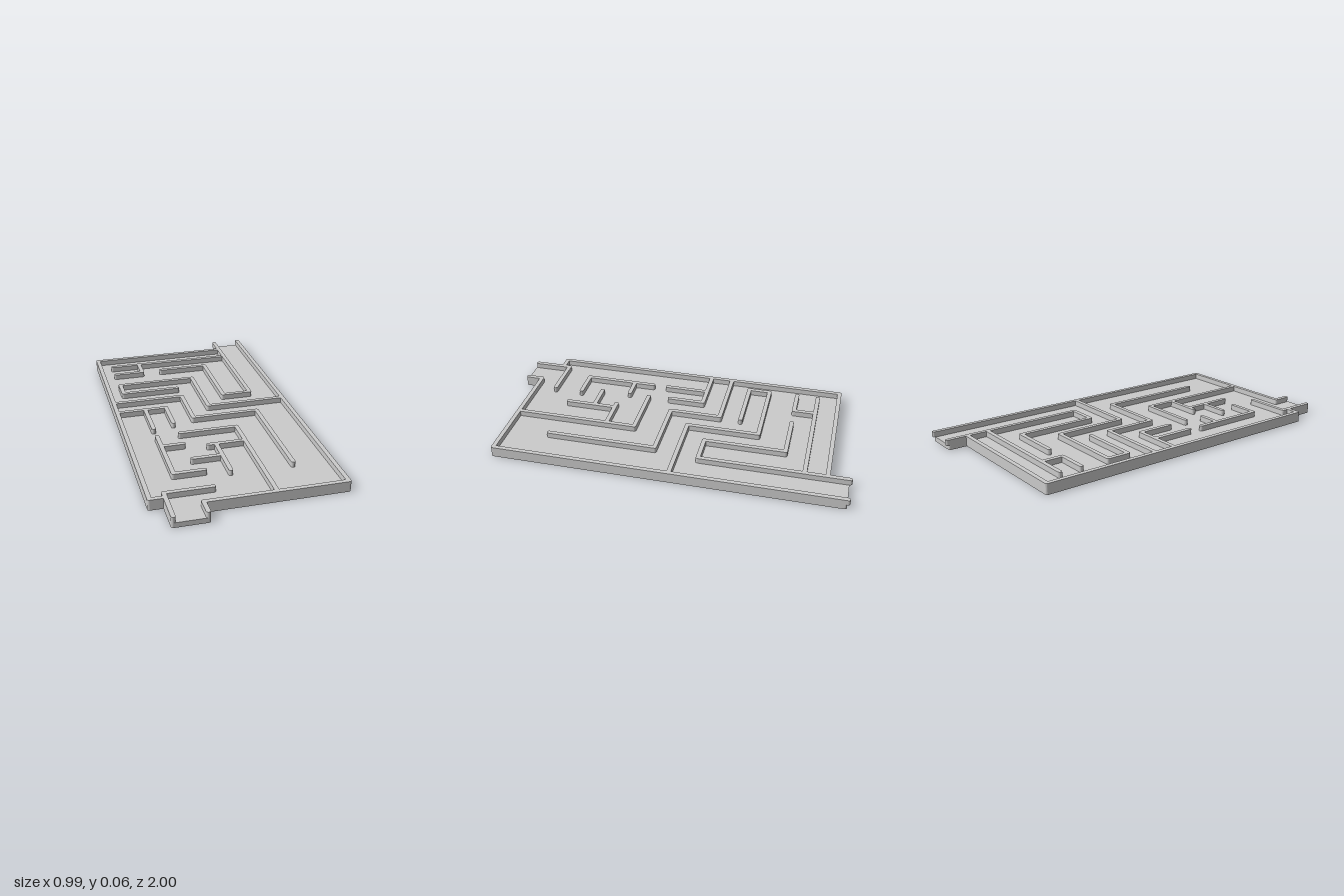
import * as THREE from 'three';

const R = 0.0118;      // half the wall thickness
const FLOOR = 0.027;   // top of the floor plate
const TOP = 0.057;     // top of the walls

// Outline at distance R around a closed loop of [x, z] points; outer corners are rounded.
function offsetLoop(loop) {
  const n = loop.length;
  const p = loop.map(([x, z]) => new THREE.Vector2(x, -z));
  const dirs = p.map((a, i) => p[(i + 1) % n].clone().sub(a).normalize());
  const out = [];
  for (let i = 0; i < n; i++) {
    const a = dirs[(i + n - 1) % n], b = dirs[i];
    const cross = a.x * b.y - a.y * b.x + 0;
    if (cross < -1e-6) {
      out.push(new THREE.Vector2(p[i].x + R * (a.y + b.y), p[i].y - R * (a.x + b.x)));
    } else {
      const turn = Math.atan2(Math.abs(cross), a.dot(b));
      const start = Math.atan2(-a.x, a.y);
      const steps = Math.max(1, Math.round(turn / (Math.PI / 12)));
      for (let s = 0; s <= steps; s++) {
        const t = start + turn * s / steps;
        out.push(new THREE.Vector2(p[i].x + R * Math.cos(t), p[i].y + R * Math.sin(t)));
      }
    }
  }
  return new THREE.Shape(out);
}

function slab(name, shape, y0, y1, material) {
  const geo = new THREE.ExtrudeGeometry(shape, { depth: y1 - y0, bevelEnabled: false });
  geo.rotateX(-Math.PI / 2).translate(0, y0, 0);
  const mesh = new THREE.Mesh(geo, material);
  mesh.name = name;
  return mesh;
}

export function createModel() {
  const group = new THREE.Group();
  group.name = 'mazeBoard';
  const mat = new THREE.MeshStandardMaterial({ color: 0xcccccc });

  // Floor plate with an entry tab at the front and an exit channel at the back
  const plate = [
    [-0.484, 0.822], [-0.408, 0.822], [-0.408, 0.988], [-0.243, 0.988], [-0.243, 0.903],
    [0.482, 0.903], [0.482, -0.974], [0.32, -0.974], [0.32, -0.873], [-0.484, -0.873],
  ];
  group.add(slab('floorPlate', offsetLoop(plate), 0, FLOOR, mat));

  // Wall centre lines as [x, z] paths
  const walls = {
    outerWallRight: [[-0.243, 0.988], [-0.243, 0.903], [0.482, 0.903], [0.482, -0.988]],
    outerWallLeft: [[0.32, -0.873], [-0.484, -0.873], [-0.484, 0.822], [-0.408, 0.822]],
    entryWall: [[-0.408, 0.988], [-0.408, 0.785], [-0.165, 0.785]],
    exitChannelWall: [[0.32, -0.988], [0.32, -0.19], [0.158, -0.19], [0.158, -0.634], [-0.12, -0.634]],
    backWall: [[0.32, -0.753], [-0.406, -0.753]],
    backHook: [[-0.242, -0.753], [-0.242, -0.632], [-0.406, -0.632]],
    middleHook: [[-0.085, -0.348], [-0.406, -0.348], [-0.406, -0.468], [0.036, -0.468],
      [0.036, -0.068], [0.482, -0.068]],
    steppedWall: [[-0.484, -0.229], [-0.083, -0.229], [-0.083, 0.057], [0.285, 0.057], [0.285, 0.658]],
    sideWall: [[-0.484, -0.105], [-0.205, -0.105], [-0.205, 0.092]],
    sideWallSpur: [[-0.324, -0.105], [-0.324, 0.134]],
    cornerWall: [[-0.324, 0.224], [-0.324, 0.623], [-0.165, 0.623]],
    cornerWallSpur: [[-0.324, 0.337], [-0.207, 0.337]],
    frontDivider: [[-0.197, 0.218], [0.118, 0.218], [0.118, 0.903]],
    dividerSpur: [[0.118, 0.38], [-0.08, 0.38]],
    innerSpur: [[-0.041, 0.38], [-0.041, 0.658]],
    innerSpurBranch: [[-0.041, 0.502], [-0.197, 0.502]],
  };
  for (const [name, path] of Object.entries(walls)) {
    // Walk the path there and back so both ends become round caps
    const loop = [...path, ...path.slice(1, -1).reverse()];
    group.add(slab(name, offsetLoop(loop), FLOOR, TOP, mat));
  }
  return group;
}
